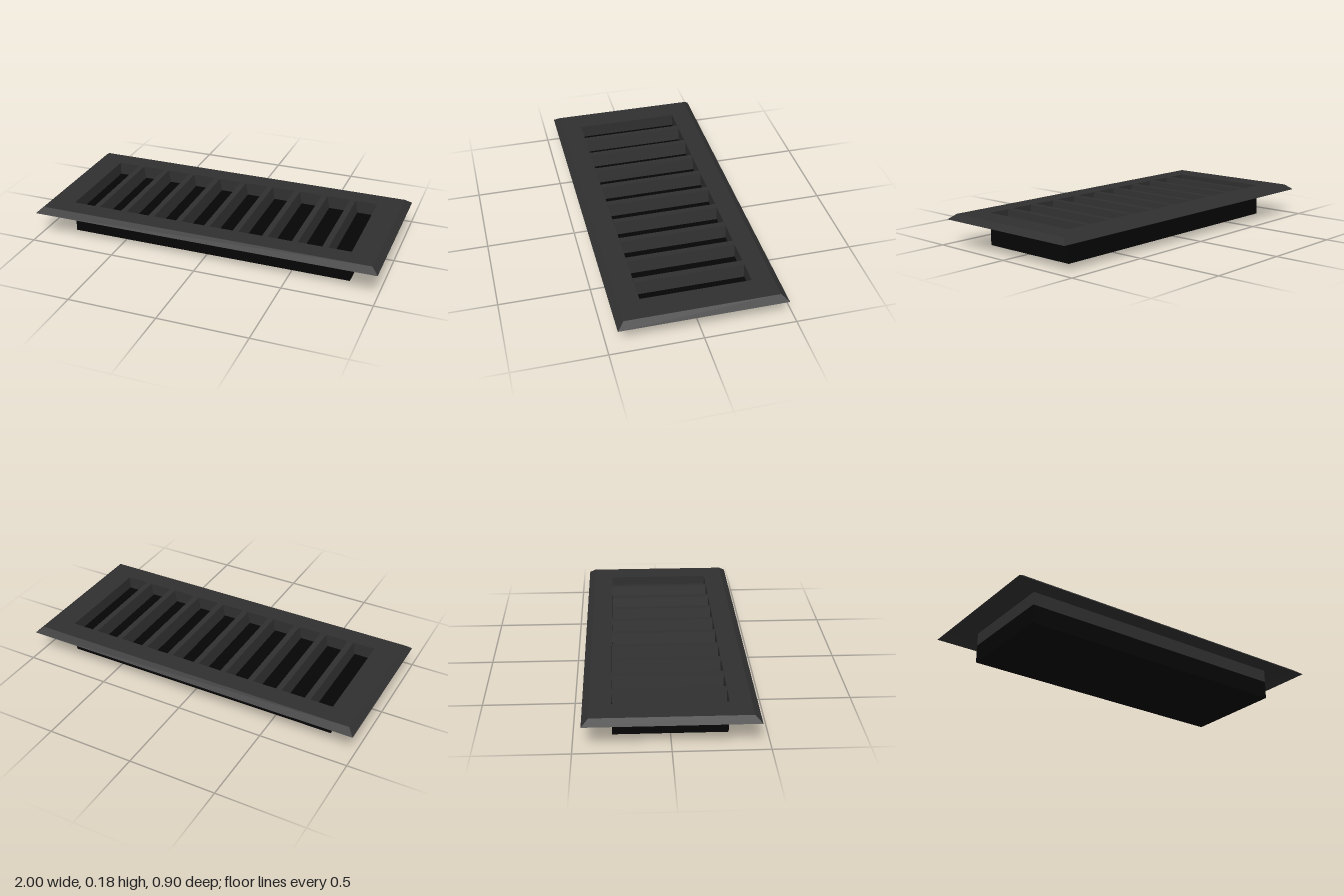
import * as THREE from 'three';

const HALF_X = 0.825, HALF_Z = 0.3, BOX_TOP = 0.105, TOP = 0.18;

// Skins rectangular rings [halfX, halfZ, y] into a flat-shaded sheet
function ringFrame(rings) {
  const signs = [[1, 1], [1, -1], [-1, -1], [-1, 1]];
  const point = ([x, z, y], j) => [signs[j % 4][0] * x, y, signs[j % 4][1] * z];
  const pos = [];
  for (let i = 0; i < rings.length - 1; i++) {
    for (let j = 0; j < 4; j++) {
      const a = point(rings[i], j), b = point(rings[i], j + 1);
      const c = point(rings[i + 1], j + 1), d = point(rings[i + 1], j);
      pos.push(...a, ...b, ...c, ...a, ...c, ...d);
    }
  }
  const geo = new THREE.BufferGeometry();
  geo.setAttribute('position', new THREE.Float32BufferAttribute(pos, 3));
  geo.computeVertexNormals();
  return geo;
}

export function createModel() {
  const group = new THREE.Group();
  const grey = new THREE.MeshStandardMaterial({ name: 'darkGrey', color: 0x303030, side: THREE.DoubleSide });
  const black = new THREE.MeshStandardMaterial({ name: 'black', color: 0x050505 });
  const add = (name, geo, mat, x = 0, y = 0, z = 0) => {
    const mesh = new THREE.Mesh(geo, mat);
    mesh.name = name;
    mesh.position.set(x, y, z);
    group.add(mesh);
  };

  // Sheet face plate, hollow below, with sloped rim and a collar around the opening
  add('facePlate', ringFrame([
    [1, 0.45, 0.15],
    [0.963, 0.413, TOP],
    [HALF_X, HALF_Z, TOP],
    [HALF_X, HALF_Z, BOX_TOP],
  ]), grey);

  // Damper box under the collar
  add('damperBox', new THREE.BoxGeometry(HALF_X * 2, BOX_TOP, HALF_Z * 2), black, 0, BOX_TOP / 2, 0);

  // Nine tapered bars dividing the opening into ten slots
  const section = new THREE.Shape([
    new THREE.Vector2(-0.03, BOX_TOP),
    new THREE.Vector2(0.03, BOX_TOP),
    new THREE.Vector2(0.017, TOP),
    new THREE.Vector2(-0.017, TOP),
  ]);
  const length = HALF_Z * 2 - 0.002;
  const barGeo = new THREE.ExtrudeGeometry(section, { depth: length, bevelEnabled: false });
  for (let i = -4; i <= 4; i++) add('bar', barGeo, grey, i * 0.17, 0, -length / 2);

  return group;
}
